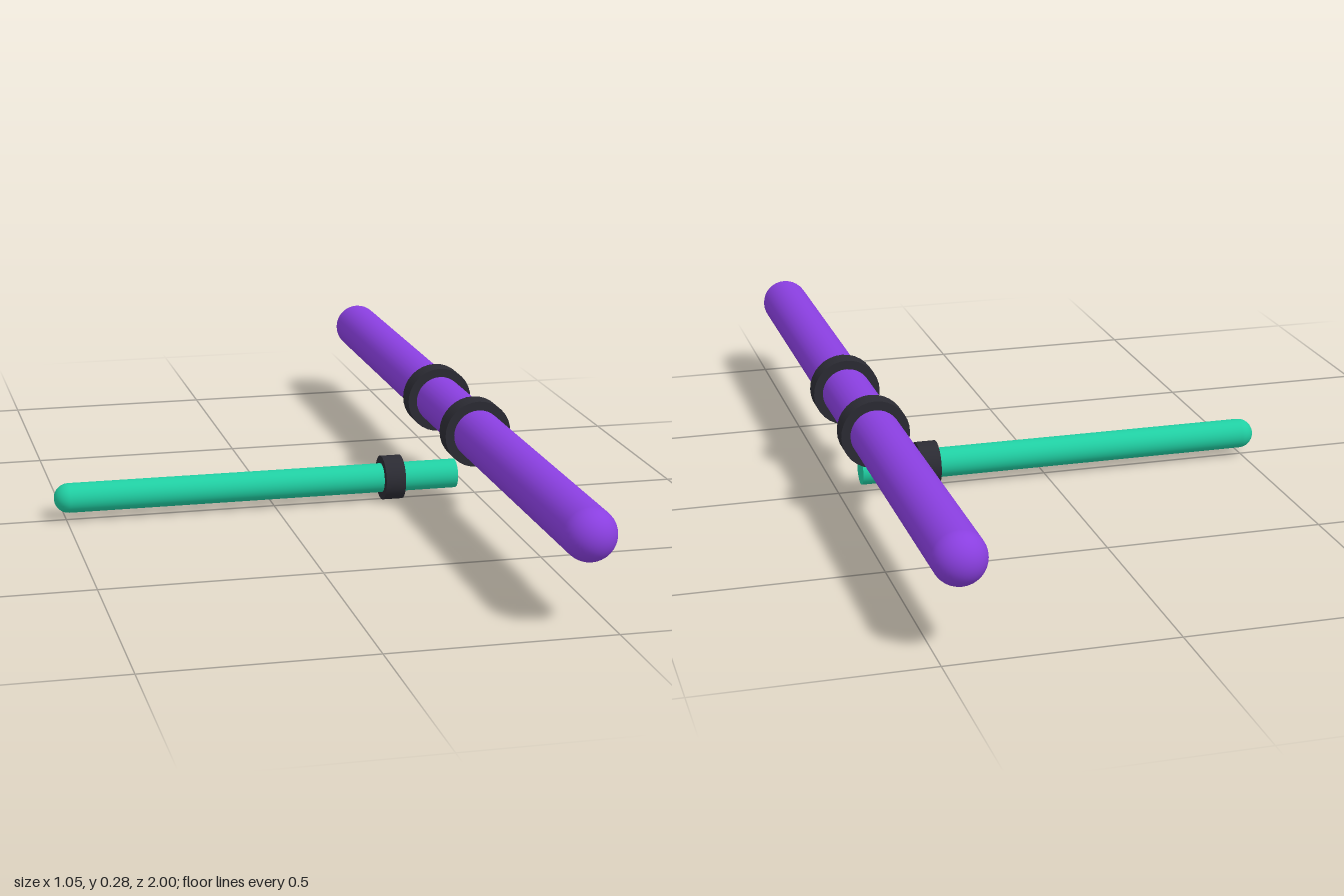
import * as THREE from 'three';

const paint = (color) => new THREE.MeshStandardMaterial({ color });

export function createModel() {
  const model = new THREE.Group();
  const purple = paint(0x8a3fe0);
  const teal = paint(0x20cfa3);
  const dark = paint(0x2b2b33);

  const add = (name, geometry, material, x, y, z) => {
    const mesh = new THREE.Mesh(geometry, material);
    mesh.name = name;
    mesh.position.set(x, y, z);
    model.add(mesh);
    return mesh;
  };

  // Long bar along z with rounded ends
  const barX = 0.447, barY = 0.201, barR = 0.058;
  add('longBar', new THREE.CapsuleGeometry(barR, 2 - 2 * barR, 12, 32), purple, barX, barY, 0)
    .rotation.x = Math.PI / 2;

  // Pair of collars around the middle of the long bar
  for (const side of [-1, 1]) {
    add(side > 0 ? 'frontCollar' : 'backCollar',
      new THREE.CylinderGeometry(0.079, 0.079, 0.05, 32), dark, barX, barY, side * 0.159)
      .rotation.x = Math.PI / 2;
  }

  // Short rod along x: flat at its left end, rounded at its right end
  const rodR = 0.035, rodY = 0.053, tip = -0.528;
  const profile = [new THREE.Vector2(0, tip)];
  for (let i = 1; i <= 10; i++) {
    const a = (i / 10) * Math.PI / 2;
    profile.push(new THREE.Vector2(rodR * Math.sin(a), tip + rodR * (1 - Math.cos(a))));
  }
  profile.push(new THREE.Vector2(rodR, barX));
  add('shortRod', new THREE.LatheGeometry(profile, 32), teal, 0, rodY, 0)
    .rotation.z = -Math.PI / 2;
  add('rodEndCap', new THREE.CircleGeometry(rodR, 32), teal, barX, rodY, 0)
    .rotation.y = Math.PI / 2;

  // Collar near the flat end of the rod
  add('rodCollar', new THREE.CylinderGeometry(0.053, 0.053, 0.048, 32), dark, 0.288, rodY, 0)
    .rotation.z = Math.PI / 2;

  return model;
}
